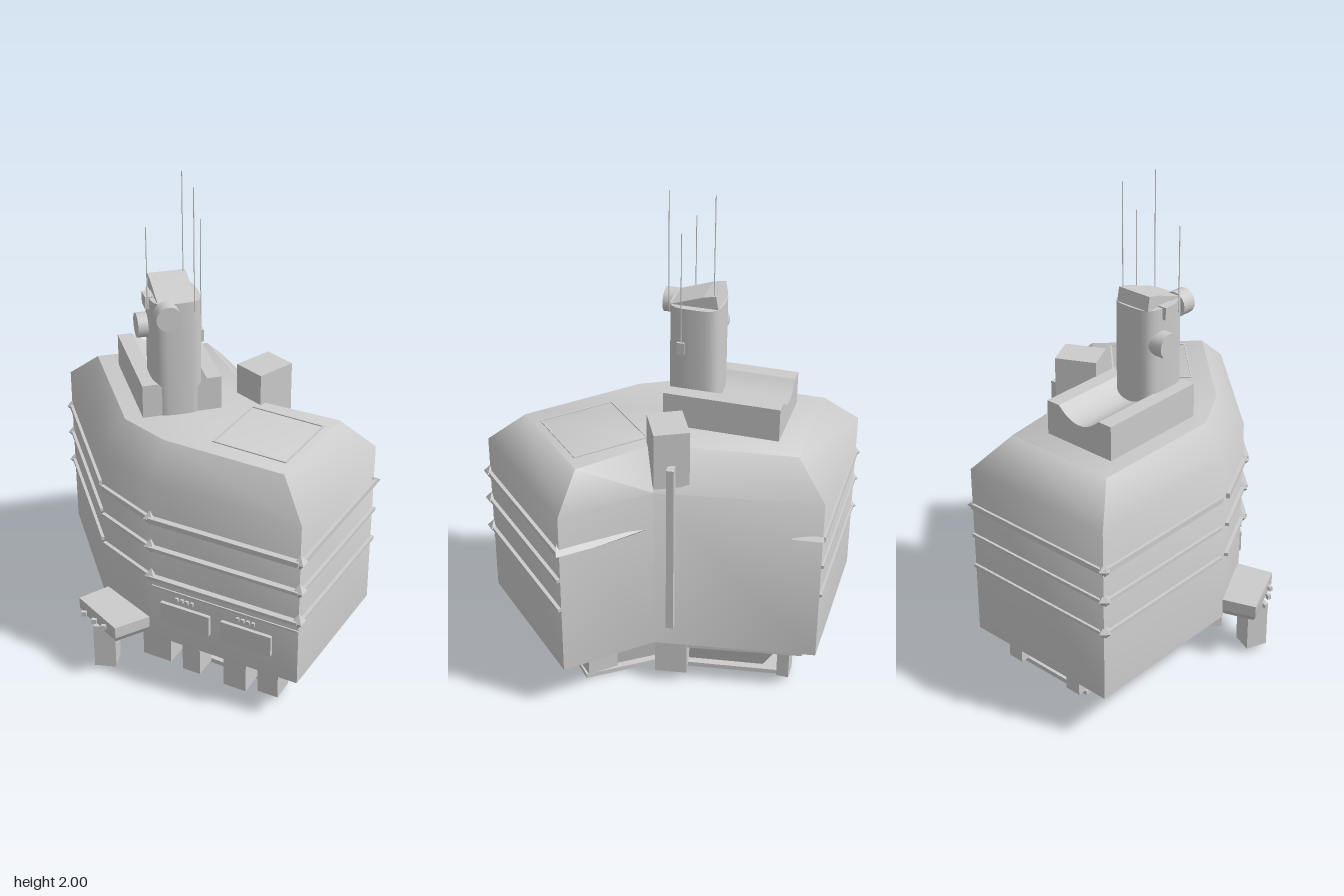
import * as THREE from 'three';
import { toCreasedNormals } from 'three/addons/utils/BufferGeometryUtils.js';
import { ConvexGeometry } from 'three/addons/geometries/ConvexGeometry.js';

const mat = new THREE.MeshStandardMaterial({ color: 0xcccccc, side: THREE.DoubleSide });

// Plan outlines as [x, z], running clockwise seen from above
const wall = [[-0.48, -0.72], [0.2, -0.72], [0.31, -0.07], [0.58, 0.22], [0.12, 0.69], [-0.35, 0.25], [-0.48, -0.02]];
const roof = [[-0.38, -0.59], [0.1, -0.59], [0.17, -0.03], [0.43, 0.2], [0.1, 0.53], [-0.27, 0.17], [-0.38, -0.03]];
const belly = [[-0.36, -0.6], [0.12, -0.6], [0.2, -0.05], [0.38, 0.22], [0.1, 0.5], [-0.25, 0.18], [-0.36, -0.05]];
const foot = [[-0.24, -0.57], [0.12, -0.57], [0.2, -0.05], [0.38, 0.2], [0.1, 0.44], [-0.2, 0.14], [-0.24, -0.05]];

// Solid skinned through stacked outlines: rings = [[y, outline], ...]
function loft(rings, crease) {
  const p = [];
  const n = rings[0][1].length;
  const at = (r, i) => { const [y, o] = rings[r]; return [o[i % n][0], y, o[i % n][1]]; };
  for (let r = 0; r < rings.length - 1; r++)
    for (let i = 0; i < n; i++)
      p.push(at(r, i), at(r + 1, i), at(r + 1, i + 1), at(r, i), at(r + 1, i + 1), at(r, i + 1));
  for (const [r, up] of [[0, false], [rings.length - 1, true]]) {
    const pts = rings[r][1].map(([x, z]) => new THREE.Vector2(x, z));
    for (const [a, b, c] of THREE.ShapeUtils.triangulateShape(pts, [])) {
      const isUp = THREE.ShapeUtils.area([pts[a], pts[b], pts[c]]) < 0;
      p.push(at(r, a), ...(isUp === up ? [at(r, b), at(r, c)] : [at(r, c), at(r, b)]));
    }
  }
  const g = new THREE.BufferGeometry();
  g.setAttribute('position', new THREE.Float32BufferAttribute(p.flat(), 3));
  g.computeVertexNormals();
  return toCreasedNormals(g, crease);
}

export function createModel() {
  const root = new THREE.Group();
  const add = (name, geo, x = 0, y = 0, z = 0, ry = 0) => {
    const m = new THREE.Mesh(geo, mat);
    m.name = name;
    m.position.set(x, y, z);
    m.rotation.y = ry;
    root.add(m);
    return m;
  };
  const box = (name, w, h, d, x, y, z, ry) => add(name, new THREE.BoxGeometry(w, h, d), x, y, z, ry);
  // Box lying along a plan edge a-b
  const beam = (name, a, b, y, h, d) => {
    const dx = b[0] - a[0], dz = b[1] - a[1];
    return box(name, Math.hypot(dx, dz), h, d, (a[0] + b[0]) / 2, y, (a[1] + b[1]) / 2, Math.atan2(-dz, dx));
  };
  const hull = (name, pts) => add(name, new ConvexGeometry(pts.map(q => new THREE.Vector3(...q))));

  // Main hull, plinth and the core between them
  add('hull', loft([[0.15, belly], [0.2, wall], [0.93, wall], [1.06, roof]], 0.85));
  add('plinthCore', loft([[0.02, foot.map(([x, z]) => [x * 0.85, z * 0.85])], [0.16, foot]], 0.4));
  add('plinth', loft([[0, foot], [0.02, foot]], 0.4));

  // Ribbed bands round the walls
  for (const y of [0.5, 0.64, 0.77]) {
    const h = y > 0.7 ? 0.022 : 0.014;
    beam('frontBand', wall[5], wall[4], y, h, 0.05);
    beam('frontBand', wall[4], wall[3], y, h, 0.03);
    beam('cornerBand', wall[6], wall[5], y, h, 0.03);
    beam('sideBand', [-0.48, -0.72], [-0.48, -0.05], y, h, 0.025);
    beam('rearBand', [-0.48, -0.72], [0.2, -0.72], y, h, 0.02);
    for (const [x, z] of [[0.12, 0.69], [-0.35, 0.25], [-0.475, -0.71]]) {
      const spike = add('cornerStud', new THREE.OctahedronGeometry(0.03), x, y, z);
      spike.scale.y = 1.1;
    }
  }
  // Tapering fins wrapping round the right-hand corners
  hull('sideFin', [[0.61, 0.77, 0.22], [0.55, 0.81, 0.24], [0.55, 0.73, 0.24], [0.5, 0.77, 0.1], [0.34, 0.775, -0.05], [0.33, 0.76, -0.04]]);
  hull('rearFin', [[0.22, 0.77, -0.73], [0.19, 0.79, -0.72], [0.19, 0.75, -0.72], [0.235, 0.77, -0.6], [0.2, 0.77, -0.62]]);

  // Hatches and small vents on the front wall
  const along = t => [-0.35 + 0.47 * t, 0.25 + 0.44 * t];
  for (const t of [0.24, 0.66]) {
    beam('hatch', along(t - 0.17), along(t + 0.17), 0.345, 0.09, 0.03);
    for (let i = -2; i <= 1; i++) beam('vent', along(t + i * 0.035), along(t + i * 0.035 + 0.02), 0.42, 0.015, 0.02);
  }
  beam('frontSkirtStrip', along(0), along(1), 0.45, 0.008, 0.012);

  // Landing pad outline on the front deck
  const s = 0.16, w = 0.153;
  const padShape = new THREE.Shape([[-s, -s], [s, -s], [s, s], [-s, s]].map(q => new THREE.Vector2(...q)));
  padShape.holes.push(new THREE.Path([[-w, -w], [-w, w], [w, w], [w, -w]].map(q => new THREE.Vector2(...q))));
  const padGeo = new THREE.ExtrudeGeometry(padShape, { depth: 0.004, bevelEnabled: false }).rotateX(-Math.PI / 2);
  add('landingPadOutline', padGeo, 0.13, 1.06, 0.23, Math.PI / 4);

  // Tower base: two side walls with a hollowed saddle between them
  const saddle = new THREE.Shape();
  saddle.moveTo(-0.16, 0);
  saddle.lineTo(-0.16, 0.14);
  saddle.lineTo(-0.1, 0.14);
  saddle.quadraticCurveTo(0, 0.04, 0.1, 0.14);
  saddle.lineTo(0.16, 0.14);
  saddle.lineTo(0.16, 0);
  const saddleGeo = new THREE.ExtrudeGeometry(saddle, { depth: 0.47, bevelEnabled: false, curveSegments: 10 });
  add('towerBase', toCreasedNormals(saddleGeo, 0.5), -0.15, 1.06, -0.49);

  // Tower: rounded plan, with its roof rising to the rear
  const plan = [];
  for (let i = 0; i < 24; i++) {
    const a = i / 24 * Math.PI * 2, c = Math.cos(a), q = Math.sin(a);
    plan.push([-0.16 + 0.1 * Math.sign(c) * Math.abs(c) ** 0.55, -0.115 + 0.105 * Math.sign(q) * Math.abs(q) ** 0.55]);
  }
  add('tower', loft([[1.06, plan], [1.54, plan]], 0.7));
  hull('towerRoof', [-0.24, -0.09].flatMap(x => [[x, 1.54, -0.02], [x, 1.54, -0.21], [x, 1.595, -0.2], [x, 1.585, -0.15]]));

  // Lamps on the tower
  const lamp = r => new THREE.CylinderGeometry(r, r, 0.06, 20);
  add('frontLamp', lamp(0.05).rotateX(Math.PI / 2), -0.21, 1.5, 0.005);
  add('sideLamp', lamp(0.05).rotateZ(Math.PI / 2), -0.27, 1.4, -0.155);
  box('sideBracket', 0.04, 0.05, 0.06, -0.255, 1.52, -0.12);

  // Antennas
  for (const [x, z, lo, hi] of [[-0.27, -0.07, 1.5, 1.84], [-0.06, -0.07, 1.35, 1.85], [-0.1, -0.01, 1.5, 2], [-0.1, -0.19, 1.54, 2]])
    add('antenna', new THREE.CylinderGeometry(0.002, 0.002, hi - lo, 6), x, (lo + hi) / 2, z);
  box('antennaMount', 0.015, 0.05, 0.03, -0.06, 1.37, -0.07);

  // Roof locker in the inner corner, with its downpipe
  box('roofLocker', 0.17, 0.24, 0.14, 0.21, 1.07, -0.1, 0.46);
  box('downpipe', 0.04, 0.75, 0.03, 0.305, 0.675, -0.14, 0.1);

  // Outrigger platform on the right-hand side
  const o = [[-0.61, 0.03], [-0.47, -0.02], [-0.36, 0.23], [-0.51, 0.27]];
  const inner = o.map(([x, z]) => [-0.47 + (x + 0.47) * 0.85, 0.13 + (z - 0.13) * 0.85]);
  add('outrigger', loft([[0.2, inner], [0.23, o], [0.28, o]], 0.5));
  box('outriggerLeg', 0.09, 0.2, 0.09, -0.52, 0.12, 0.13, -0.4);
  for (const [x, z] of [[-0.605, 0.1], [-0.575, 0.16], [-0.545, 0.21]])
    box('outriggerStud', 0.02, 0.02, 0.015, x, 0.25, z, -0.4);

  // Feet and posts under the hull
  for (const [x, z, wd, d] of [[-0.28, 0.13, 0.13, 0.11], [-0.17, 0.26, 0.08, 0.1], [-0.02, 0.4, 0.1, 0.12], [0.09, 0.48, 0.09, 0.1]])
    box('frontFoot', wd, 0.18, d, x, 0.11, z, -0.75);
  box('sideFoot', 0.17, 0.15, 0.13, 0.27, 0.085, 0.2, 0.75);
  box('cornerPost', 0.11, 0.15, 0.13, 0.24, 0.125, -0.13, 0.17);
  box('rearPost', 0.07, 0.14, 0.05, 0.12, 0.09, -0.58);
  box('rearPost', 0.07, 0.14, 0.05, -0.2, 0.09, -0.58);
  beam('underRail', [0.27, -0.1], [0.17, -0.66], 0.185, 0.03, 0.03);
  beam('underRail', [0.17, -0.66], [-0.25, -0.66], 0.185, 0.03, 0.03);
  return root;
}
